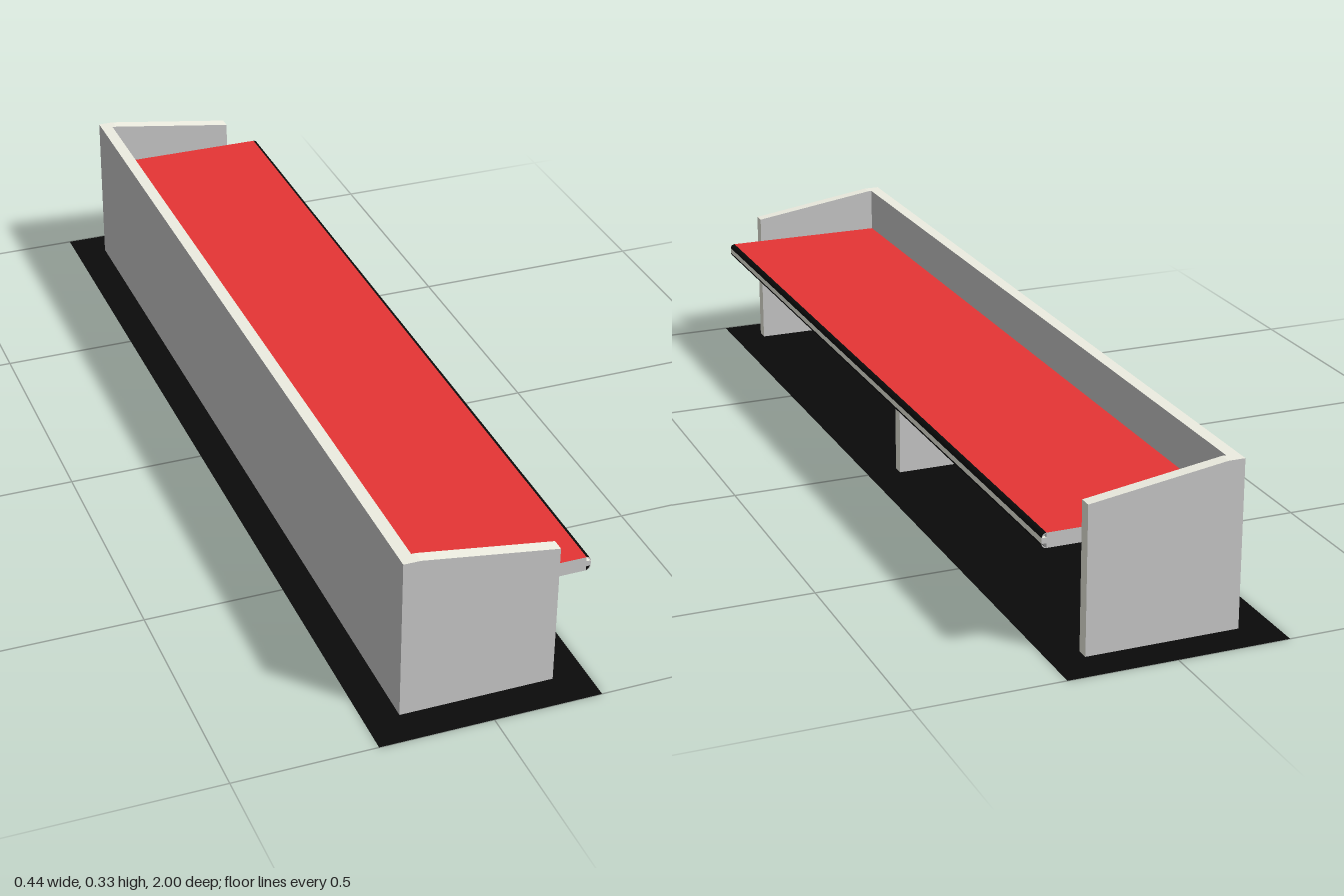
import * as THREE from 'three';

export function createModel() {
  const group = new THREE.Group();
  const mat = (color, side = THREE.FrontSide) => new THREE.MeshStandardMaterial({ color, side });
  const grey = mat(0xcccccc);
  const edging = mat(0xeeeee2);
  const red = mat(0xe63535);
  const black = mat(0x0a0a0a);
  const lift = 0.001; // keeps panel feet just clear of the floor sheet

  function add(name, geometry, material) {
    const mesh = new THREE.Mesh(geometry, material);
    mesh.name = name;
    group.add(mesh);
    return mesh;
  }

  // Box given by its limits; materials run +x, -x, +y, -y, +z, -z
  function box(name, [x0, x1], [y0, y1], [z0, z1], materials) {
    const geometry = new THREE.BoxGeometry(x1 - x0, y1 - y0, z1 - z0);
    geometry.translate((x0 + x1) / 2, (y0 + y1) / 2, (z0 + z1) / 2);
    return add(name, geometry, materials);
  }

  // Side profile in x and y swept along z
  function sweep(name, shape, z0, z1, capMaterial, sideMaterial) {
    const geometry = new THREE.ExtrudeGeometry(shape, { depth: z1 - z0, bevelEnabled: false, curveSegments: 6 });
    geometry.translate(0, 0, z0);
    return add(name, geometry, [capMaterial, sideMaterial]);
  }

  // Floor sheet
  const floor = new THREE.PlaneGeometry(0.435, 2).rotateX(-Math.PI / 2).translate(-0.0045, 0, 0);
  add('floor', floor, mat(0x0a0a0a, THREE.DoubleSide));

  // Back panel with a light top edge
  box('backPanel', [-0.155, -0.13], [lift, 0.331], [-0.93, 0.93],
    [grey, grey, edging, grey, grey, grey]);

  // End panels with sloping tops
  const endProfile = new THREE.Shape([
    [-0.13, lift], [0.147, lift], [0.147, 0.291], [-0.122, 0.331], [-0.13, 0.331],
  ].map(([x, y]) => new THREE.Vector2(x, y)));
  sweep('leftEndPanel', endProfile, 0.905, 0.93, grey, edging);
  sweep('rightEndPanel', endProfile, -0.93, -0.905, grey, edging);

  // Middle support under the counter
  box('middleSupport', [-0.13, 0.147], [lift, 0.21], [-0.0125, 0.0125],
    [edging, grey, edging, grey, grey, grey]);

  // Counter board
  const r = 0.009, low = 0.21, high = 0.239, front = 0.222, half = 0.904;
  box('counter', [-0.13, front - r], [low, high], [-half, half],
    [grey, grey, red, red, grey, grey]);

  // Counter nose: light strip between two rounded black edges
  box('counterEdgeStrip', [front - r, front], [low + r, high - r], [-half, half],
    [edging, edging, edging, edging, grey, grey]);
  for (const [name, y, start] of [['upperNosing', high - r, 0], ['lowerNosing', low + r, -Math.PI / 2]]) {
    const quarter = new THREE.Shape();
    quarter.moveTo(front - r, y);
    quarter.absarc(front - r, y, r, start, start + Math.PI / 2, false);
    quarter.closePath();
    sweep(name, quarter, -half, half, grey, black);
  }

  return group;
}
